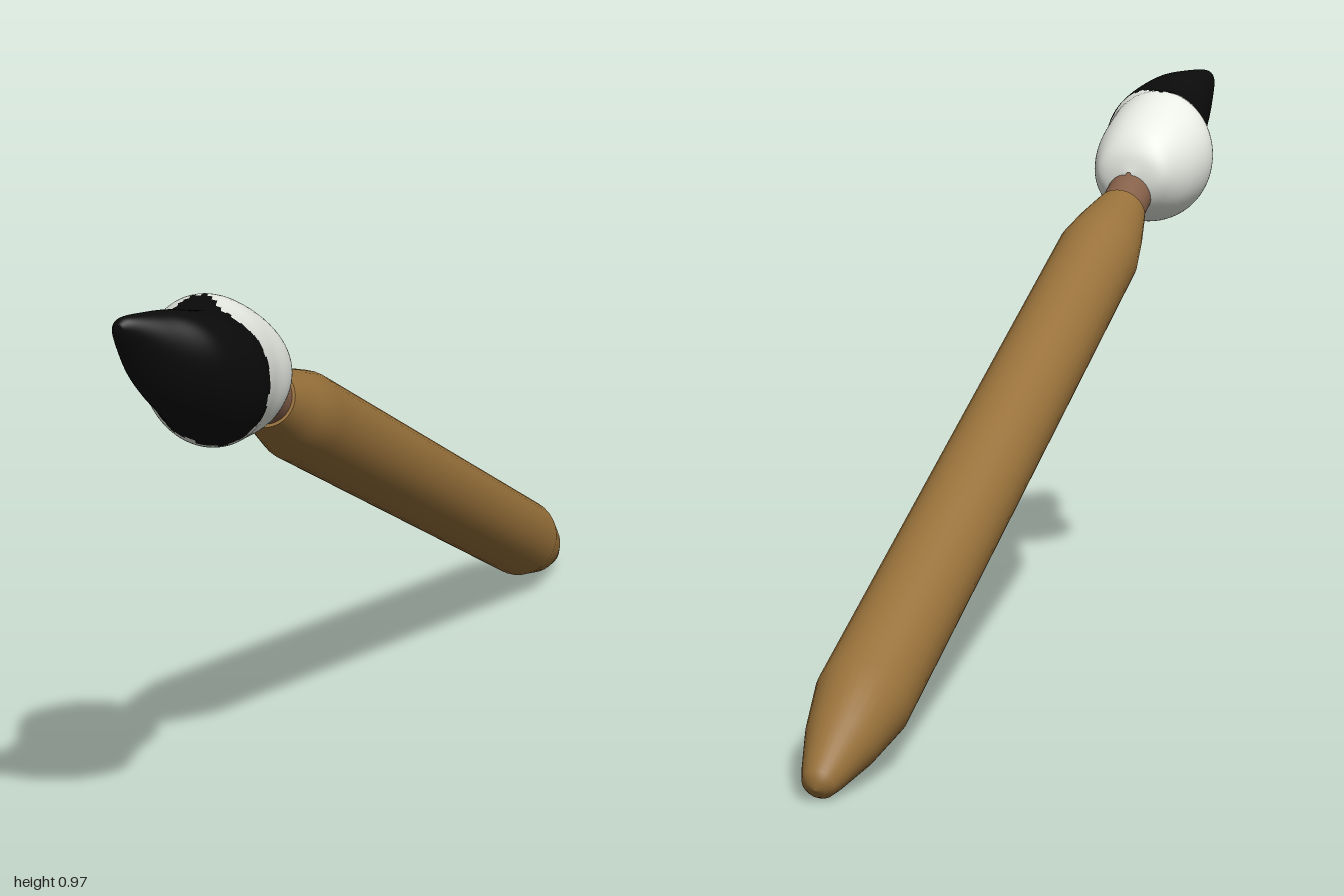
import * as THREE from 'three';

const mat = (color) => new THREE.MeshStandardMaterial({ color, roughness: 0.8 });

// Bristle outline per slice: z, left x, right x, bottom y, top y
const SLICES = [
  [0.555, -0.005, 0.005, 0.795, 0.805],
  [0.565, -0.055, 0.055, 0.755, 0.845],
  [0.59, -0.08, 0.075, 0.725, 0.88],
  [0.64, -0.108, 0.09, 0.707, 0.915],
  [0.70, -0.12, 0.095, 0.708, 0.943],
  [0.76, -0.10, 0.108, 0.722, 0.946],
  [0.81, -0.075, 0.12, 0.745, 0.948],
  [0.86, -0.06, 0.112, 0.775, 0.958],
  [0.91, -0.055, 0.088, 0.815, 0.97],
  [0.95, -0.05, 0.045, 0.86, 0.974],
  [0.985, -0.045, 0.0, 0.925, 0.974],
  [1.0, -0.036, -0.022, 0.952, 0.966],
];

// Where the ink starts (z), every 30 degrees counter-clockwise from +x
const INK_EDGE = [0.78, 0.765, 0.82, 0.70, 0.78, 0.80, 0.82, 0.82, 0.80, 0.785, 0.78, 0.77];

// Deterministic jitter in -0.5..0.5
const jitter = (n) => {
  const s = Math.sin(n * 12.9898 + 4.1) * 43758.5453;
  return s - Math.floor(s) - 0.5;
};

function inkStart(col, cols) {
  const k = (col / cols) * INK_EDGE.length;
  const i = Math.floor(k);
  const z = THREE.MathUtils.lerp(INK_EDGE[i], INK_EDGE[(i + 1) % INK_EDGE.length], k - i);
  return z + jitter(Math.floor(col / 2)) * 0.035;
}

// Swelling tuft lofted from ellipses, split into clean and inked faces
function makeBristles() {
  const cols = 72, rows = 77;
  const spline = (a, b) => new THREE.CatmullRomCurve3(
    SLICES.map((s) => new THREE.Vector3(s[a], s[b], s[0])), false, 'catmullrom', 0.5);
  const xs = spline(1, 2), ys = spline(3, 4);
  const positions = [], zs = [], clean = [], inked = [];

  for (let i = 0; i <= rows; i++) {
    const h = xs.getPoint(i / rows), v = ys.getPoint(i / rows);
    zs.push(h.z);
    for (let j = 0; j < cols; j++) {
      const a = (j / cols) * Math.PI * 2;
      positions.push(
        (h.x + h.y) / 2 + (h.y - h.x) / 2 * Math.cos(a),
        (v.x + v.y) / 2 + (v.y - v.x) / 2 * Math.sin(a),
        h.z);
    }
  }
  for (let i = 0; i < rows; i++) {
    for (let j = 0; j < cols; j++) {
      const a = i * cols + j, b = i * cols + (j + 1) % cols;
      const target = (zs[i] + zs[i + 1]) / 2 > inkStart(j, cols) ? inked : clean;
      target.push(a, b, b + cols, a, b + cols, a + cols);
    }
  }
  // Close the tip
  const last = rows * cols;
  for (let j = 1; j < cols - 1; j++) inked.push(last, last + j, last + j + 1);

  // Shared normals keep the colour border seamless
  const whole = new THREE.BufferGeometry();
  whole.setAttribute('position', new THREE.Float32BufferAttribute(positions, 3));
  whole.setIndex([...clean, ...inked]);
  whole.computeVertexNormals();

  const group = new THREE.Group();
  group.name = 'bristles';
  for (const [name, index, color] of [['cleanBristles', clean, 0xe8ece4], ['inkedTip', inked, 0x0a0a0a]]) {
    const geometry = whole.clone();
    geometry.setIndex(index);
    const mesh = new THREE.Mesh(geometry, mat(color));
    mesh.name = name;
    group.add(mesh);
  }
  return group;
}

export function createModel() {
  const model = new THREE.Group();
  model.name = 'paintbrush';

  // Handle and neck share one slanted axis
  const shaft = new THREE.Group();
  shaft.name = 'shaft';
  shaft.position.set(0.003, 0.11, -0.81);
  shaft.rotation.x = 1.13;
  model.add(shaft);

  // Tapered wooden handle with a rounded rear end
  const profile = [
    [0, -0.212], [0.015, -0.208], [0.026, -0.197], [0.034, -0.175], [0.057, -0.095],
    [0.075, 0], [0.075, 0.65], [0.075, 1.31], [0.064, 1.38], [0.047, 1.465],
  ].map(([r, y]) => new THREE.Vector2(r, y));
  const handle = new THREE.Mesh(new THREE.LatheGeometry(profile, 32), mat(0x98713a));
  handle.name = 'handle';
  shaft.add(handle);

  // Flat front end of the handle
  const handleEnd = new THREE.Mesh(new THREE.CircleGeometry(0.047, 32), handle.material);
  handleEnd.name = 'handleEnd';
  handleEnd.rotation.x = -Math.PI / 2;
  handleEnd.position.y = 1.465;
  shaft.add(handleEnd);

  // Neck joining handle and bristles
  const neck = new THREE.Mesh(new THREE.CylinderGeometry(0.042, 0.042, 0.16, 32), mat(0x85604a));
  neck.name = 'neck';
  neck.position.y = 1.52;
  shaft.add(neck);

  model.add(makeBristles());
  return model;
}
